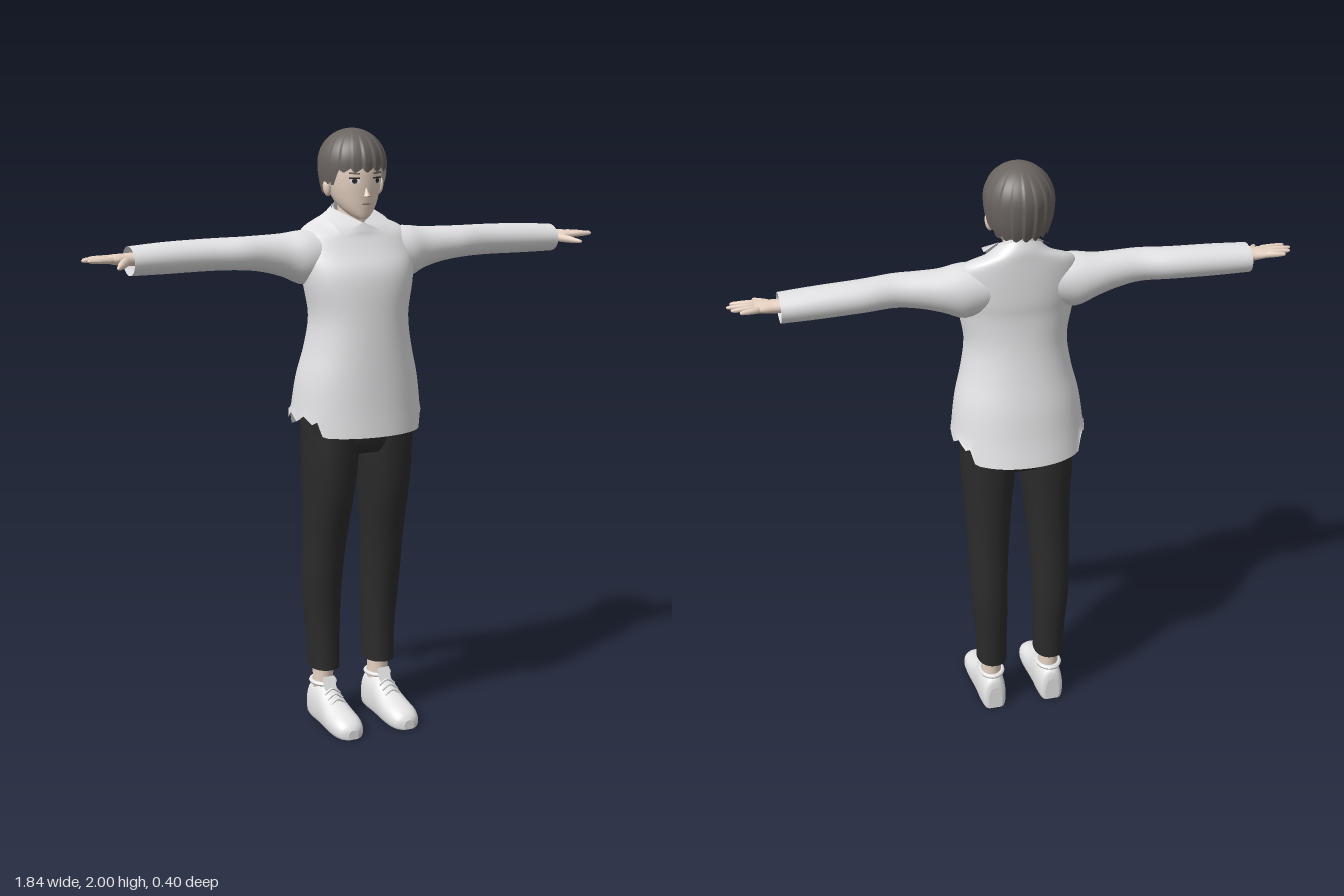
import * as THREE from 'three';

const paint = (name, color, side = THREE.FrontSide) => {
  const m = new THREE.MeshStandardMaterial({ color, side });
  m.name = name;
  return m;
};

// Surface through closed rings: fn(t, angle) gives one point, t runs 0..1 along the part
function grid(rows, cols, fn, caps = false) {
  const pos = [], index = [];
  const ring = t => {
    for (let j = 0; j < cols; j++) pos.push(...fn(t, j / cols * Math.PI * 2));
  };
  for (let i = 0; i <= rows; i++) ring(i / rows);
  for (let i = 0; i < rows; i++) for (let j = 0; j < cols; j++) {
    const k = (j + 1) % cols, a = i * cols + j, b = i * cols + k;
    index.push(a, a + cols, b, b, a + cols, b + cols);
  }
  if (caps) for (const t of [0, 1]) {
    const base = pos.length / 3, mid = [0, 0, 0];
    ring(t);
    for (let j = 0; j < cols; j++) for (let c = 0; c < 3; c++) mid[c] += pos[(base + j) * 3 + c] / cols;
    pos.push(...mid);
    for (let j = 0; j < cols; j++) {
      const a = base + j, b = base + (j + 1) % cols;
      index.push(base + cols, ...(t ? [b, a] : [a, b]));
    }
  }
  const g = new THREE.BufferGeometry();
  g.setAttribute('position', new THREE.Float32BufferAttribute(pos, 3));
  g.setIndex(index);
  g.computeVertexNormals();
  return g;
}

// Smooth blend through a list of sections
function sample(list, t) {
  const n = list.length - 1, f = t * n, i = Math.min(Math.floor(f), n - 1), u = f - i;
  const at = k => list[Math.max(0, Math.min(n, k))];
  return list[0].map((_, c) => {
    const [p, q, r, s] = [at(i - 1)[c], at(i)[c], at(i + 1)[c], at(i + 2)[c]];
    return q + 0.5 * u * (r - p + u * (2 * p - 5 * q + 4 * r - s + u * (3 * (q - r) + s - p)));
  });
}

// Section: [along, centreU, centreV, radiusU, radiusV, tilt]; axes y:(u=x,v=z) x:(u=z,v=y) z:(u=y,v=x)
function loft(axis, list, { cols = 32, power = 2, caps = false, rule = p => p } = {}) {
  const soft = v => Math.sign(v) * Math.abs(v) ** (2 / power);
  return grid((list.length - 1) * 4, cols, (t, a) => {
    const [l, cu, cv, ru, rv, tilt = 0] = sample(list, t);
    const u = cu + ru * soft(Math.cos(a)), v = cv + rv * soft(Math.sin(a)), w = l + tilt * Math.sin(a);
    return rule(axis === 'y' ? [u, w, v] : axis === 'x' ? [w, v, u] : [v, u, w], a, t);
  }, caps);
}

function mirrored(g) {
  const m = g.clone().scale(-1, 1, 1), ix = m.index.array;
  for (let i = 0; i < ix.length; i += 3) [ix[i], ix[i + 1]] = [ix[i + 1], ix[i]];
  m.computeVertexNormals();
  return m;
}

// Tapered round limb between two points
function limb(a, b, r1, r2) {
  const p = new THREE.Vector3(...a), d = new THREE.Vector3(...b).sub(p), len = d.length();
  const prof = [[0, 0], [r1, 0], [(r1 + r2) / 2 * 1.08, len * 0.5], [r2, len * 0.88], [r2 * 0.6, len * 0.97], [0, len]];
  const g = new THREE.LatheGeometry(prof.map(q => new THREE.Vector2(...q)), 10);
  g.applyQuaternion(new THREE.Quaternion().setFromUnitVectors(new THREE.Vector3(0, 1, 0), d.normalize()));
  return g.translate(p.x, p.y, p.z);
}

export function createModel() {
  const model = new THREE.Group();
  const shirt = paint('shirt white', 0xe2e2e4, THREE.DoubleSide);
  const black = paint('trouser black', 0x2b2b2b, THREE.DoubleSide);
  const hairGrey = paint('hair grey', 0x6a6460, THREE.DoubleSide);
  const skin = paint('skin', 0xead5c5);
  const shoeWhite = paint('shoe white', 0xe6e6e6);
  const dark = paint('eye dark', 0x2c2624);
  const eyeWhite = paint('eye white', 0xf2f2f2);
  const lip = paint('lip', 0xc09488);

  const add = (name, g, mat) => {
    const m = new THREE.Mesh(g, mat);
    m.name = name;
    model.add(m);
  };
  const pair = (name, g, mat) => {
    add('left' + name, g, mat);
    add('right' + name, mirrored(g), mat);
  };
  const step = THREE.MathUtils.smoothstep;

  // Shirt body, with ragged side slits in the hem
  add('shirtBody', loft('y', [
    [1.02, 0, -0.01, 0.222, 0.19, 0], [1.1, 0, -0.004, 0.217, 0.176, 0], [1.2, 0, 0.002, 0.204, 0.163, 0],
    [1.3, 0, 0.011, 0.18, 0.147, 0], [1.4, 0, 0.017, 0.168, 0.133, 0], [1.5, 0, 0.016, 0.186, 0.124, 0],
    [1.56, 0, 0.006, 0.196, 0.117, 0], [1.62, 0, -0.01, 0.2, 0.1, -0.01], [1.675, 0, -0.022, 0.18, 0.085, -0.02],
    [1.705, 0, -0.024, 0.105, 0.08, -0.03], [1.73, 0, -0.022, 0.07, 0.07, -0.035],
  ], {
    cols: 64, power: 2.15, rule: (p, a, t) => {
      const lift = step(Math.abs(Math.cos(a)), 0.76, 0.84) * (0.052 + 0.012 * Math.sin(a * 16));
      p[1] += lift * Math.max(0, 1 - t * 10);
      return p;
    },
  }), shirt);

  // Sleeves with open cuffs
  pair('Sleeve', loft('x', [
    [0.1, -0.02, 1.6, 0.075, 0.075], [0.18, -0.021, 1.592, 0.083, 0.088], [0.25, -0.027, 1.602, 0.071, 0.07],
    [0.32, -0.024, 1.611, 0.062, 0.059], [0.4, -0.02, 1.616, 0.059, 0.053], [0.5, -0.034, 1.616, 0.06, 0.051],
    [0.64, -0.039, 1.613, 0.06, 0.05], [0.76, -0.04, 1.609, 0.06, 0.046],
  ]), shirt);

  // Collar band and folded collar points
  add('collarBand', loft('y', [[1.715, 0, -0.022, 0.075, 0.074, -0.033], [1.738, 0, -0.022, 0.064, 0.066, -0.036]]), shirt);
  const flap = new THREE.BufferGeometry();
  flap.setAttribute('position', new THREE.Float32BufferAttribute([
    0.003, 1.703, 0.056, 0.08, 1.668, 0.069, 0.102, 1.7, 0.046, 0.112, 1.715, -0.025, 0.066, 1.742, -0.025,
  ], 3));
  flap.setIndex([0, 1, 2, 0, 2, 4, 2, 3, 4]);
  flap.computeVertexNormals();
  pair('CollarPoint', flap, shirt);

  // Trousers
  add('trouserSeat', loft('y', [
    [0.95, 0, 0, 0.175, 0.095], [0.99, 0, 0.002, 0.188, 0.112], [1.08, 0, 0.004, 0.192, 0.118], [1.2, 0, 0, 0.16, 0.11],
  ], { caps: true, power: 2.3 }), black);
  pair('TrouserLeg', loft('y', [
    [0.185, 0.103, -0.043, 0.051, 0.068], [0.3, 0.104, -0.046, 0.053, 0.07], [0.42, 0.108, -0.046, 0.06, 0.077],
    [0.52, 0.109, -0.037, 0.063, 0.083], [0.65, 0.106, -0.022, 0.068, 0.09], [0.8, 0.102, -0.003, 0.078, 0.107],
    [0.92, 0.099, 0.003, 0.088, 0.114], [1.02, 0.097, 0.005, 0.092, 0.116],
  ], { power: 2.2 }), black);

  // Ankles and shoes
  pair('Ankle', loft('y', [[0.08, 0.104, -0.045, 0.034, 0.042], [0.15, 0.104, -0.045, 0.034, 0.04], [0.24, 0.104, -0.045, 0.037, 0.046]]), skin);
  const shoe = [
    [-0.106, 0.085, 0.025], [-0.095, 0.118, 0.039], [-0.05, 0.128, 0.046], [0, 0.127, 0.047], [0.05, 0.1, 0.05],
    [0.1, 0.08, 0.054], [0.15, 0.067, 0.053], [0.185, 0.05, 0.041], [0.2, 0.032, 0.018],
  ].map(([z, h, w]) => [z, h * 0.35, 0.104, h * 0.65, w]);
  pair('Shoe', loft('z', shoe, {
    caps: true, power: 2.3, rule: p => [p[0], Math.max(p[1], 0), p[2]],
  }), shoeWhite);
  const rim = new THREE.TorusGeometry(0.04, 0.008, 8, 28).rotateX(Math.PI / 2).scale(0.95, 1, 1.2).translate(0.104, 0.128, -0.045);
  pair('ShoeRim', rim, shoeWhite);
  pair('ShoeTongue', new THREE.BoxGeometry(0.04, 0.05, 0.012).rotateX(-0.45).translate(0.104, 0.132, 0.01), shoeWhite);
  for (let i = 0; i < 3; i++) {
    const z = 0.03 + i * 0.022, y = 0.118 - i * 0.011;
    const lace = new THREE.CatmullRomCurve3([[0.075, y - 0.014], [0.104, y + 0.003], [0.133, y - 0.014]].map(q => new THREE.Vector3(q[0], q[1], z)));
    pair('ShoeLace' + i, new THREE.TubeGeometry(lace, 8, 0.004, 6), shoeWhite);
  }

  // Hands: palm, four fingers, thumb
  pair('Palm', loft('x', [
    [0.7, -0.04, 1.614, 0.03, 0.024], [0.77, -0.038, 1.615, 0.029, 0.02], [0.805, -0.035, 1.617, 0.036, 0.017],
    [0.835, -0.036, 1.619, 0.037, 0.012],
  ], { cols: 20, caps: true }), skin);
  [[-0.008, 0.905, 0.001], [-0.027, 0.918, -0.024], [-0.046, 0.907, -0.05], [-0.063, 0.882, -0.075]].forEach(([z, x, tip], i) =>
    pair('Finger' + i, limb([0.822, 1.619, z], [x, 1.62, tip], 0.0105, 0.0065), skin));
  pair('Thumb', limb([0.775, 1.611, -0.022], [0.828, 1.6, 0.064], 0.016, 0.007), skin);

  // Neck and head
  add('neck', loft('y', [[1.65, 0, -0.025, 0.056, 0.052], [1.72, 0, -0.023, 0.05, 0.05], [1.8, 0, -0.03, 0.05, 0.055]]), skin);
  add('head', loft('y', [
    [1.713, 0, 0.045, 0.014, 0.018], [1.726, 0, 0.03, 0.034, 0.038], [1.75, 0, 0.008, 0.057, 0.064], [1.785, 0, -0.01, 0.075, 0.086],
    [1.83, 0, -0.016, 0.086, 0.095], [1.88, 0, -0.02, 0.09, 0.097], [1.93, 0, -0.025, 0.08, 0.085], [1.97, 0, -0.03, 0.035, 0.04],
  ], { caps: true }), skin);
  pair('Ear', new THREE.SphereGeometry(1, 14, 10).scale(0.012, 0.028, 0.018).rotateZ(-0.15).translate(0.094, 1.812, -0.02), skin);
  add('nose', new THREE.ConeGeometry(0.011, 0.036, 10).scale(1, 1, 1.2).rotateX(-0.25).translate(0, 1.805, 0.079), skin);
  add('mouth', new THREE.CircleGeometry(1, 16).scale(0.017, 0.003, 1).rotateX(0.25).translate(0, 1.764, 0.0805), lip);

  // Eyes and brows as thin faces on the head
  const onFace = (g, y, z) => g.rotateY(0.42).translate(0.04, y, z);
  pair('EyeWhite', onFace(new THREE.CircleGeometry(1, 20).scale(0.018, 0.009, 1), 1.838, 0.0735), eyeWhite);
  pair('Iris', onFace(new THREE.CircleGeometry(0.0085, 16), 1.838, 0.0745), dark);
  pair('UpperLash', onFace(new THREE.BoxGeometry(0.036, 0.004, 0.004), 1.847, 0.073), dark);
  pair('Brow', onFace(new THREE.BoxGeometry(0.034, 0.005, 0.004).rotateZ(0.08), 1.862, 0.073), hairGrey);

  // Hair shell: overlapping locks, jagged fringe, longer at the nape
  const locks = 18;
  add('hair', grid(22, locks * 8, (t, a) => {
    const f = Math.sin(a), saw = (a / (Math.PI * 2) * locks) % 1;
    const hem = 1.778 + 0.04 * step(f, -0.5, 0.1) + 0.046 * step(f, 0.4, 0.7);
    const low = hem + 0.024 * Math.abs(saw - 0.6);
    const th0 = Math.asin((low - 1.89) / 0.19), th = th0 + (Math.PI / 2 - th0) * t;
    const s = Math.sin(th), r = Math.cos(th) * (0.965 + 0.05 * saw * (1 - t * t));
    return [0.11 * r * Math.cos(a), 1.89 + (s > 0 ? 0.11 : 0.19) * s, -0.03 + 0.125 * r * f];
  }), hairGrey);

  return model;
}
